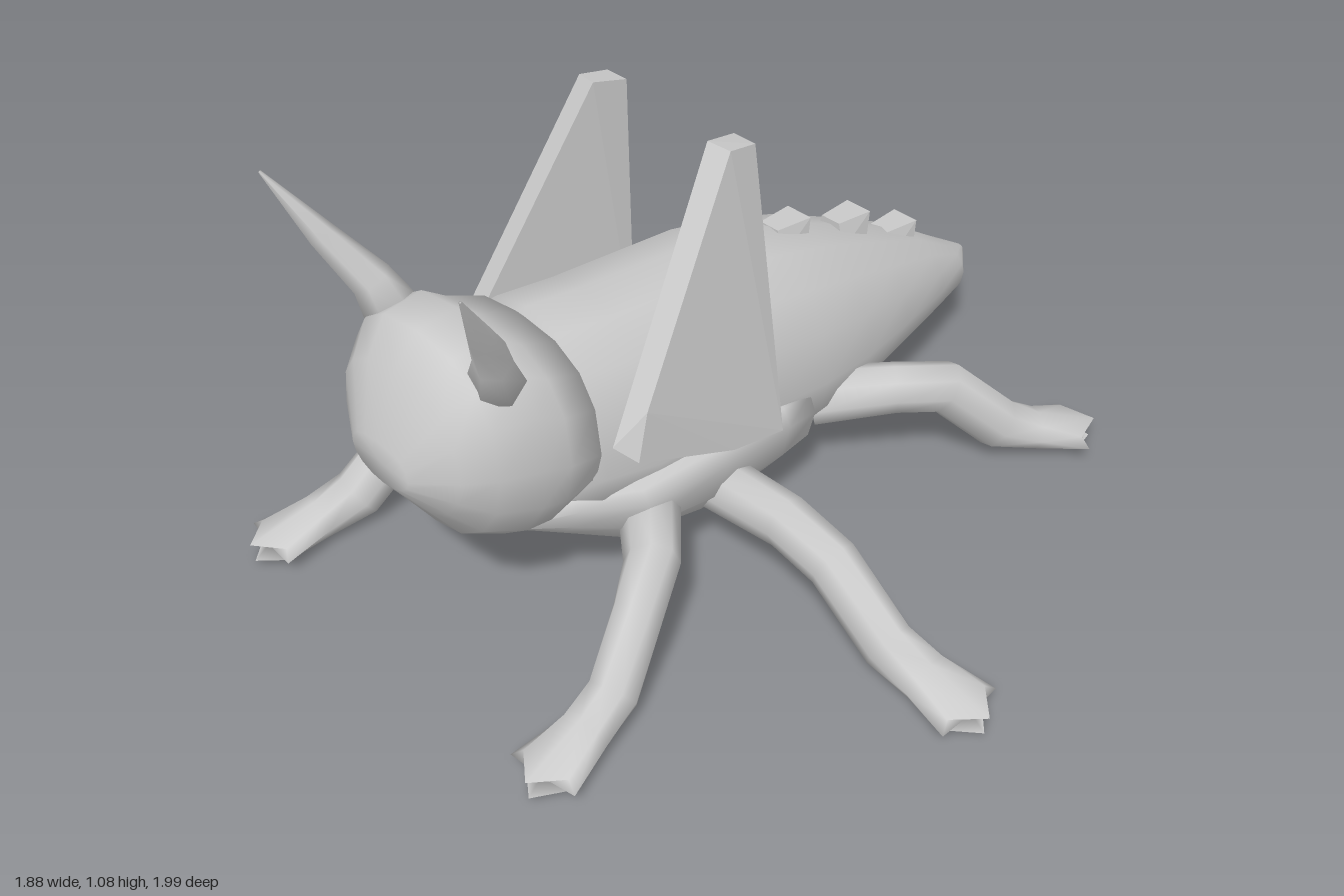
import * as THREE from 'three';
import { ConvexGeometry } from 'three/addons/geometries/ConvexGeometry.js';

const material = new THREE.MeshStandardMaterial({ color: 0xcccccc });
const V = (x, y, z) => new THREE.Vector3(x, y, z);

function add(parent, geometry, name) {
  const mesh = new THREE.Mesh(geometry, material);
  mesh.name = name;
  parent.add(mesh);
}

// Smooth closed skin over a list of rings, capped at both ends.
function skin(rings) {
  const n = rings[0].length, index = [], points = rings.flat();
  for (let i = 0; i < rings.length - 1; i++) {
    for (let j = 0; j < n; j++) {
      const a = i * n + j, b = i * n + (j + 1) % n;
      index.push(a, b, a + n, b, b + n, a + n);
    }
  }
  [rings[0], rings[rings.length - 1]].forEach((ring, end) => {
    const centre = points.length, base = end ? (rings.length - 1) * n : 0;
    points.push(ring.reduce((s, p) => s.add(p), V(0, 0, 0)).divideScalar(n));
    for (let j = 0; j < n; j++) {
      const a = base + j, b = base + (j + 1) % n;
      index.push(centre, end ? a : b, end ? b : a);
    }
  });
  const g = new THREE.BufferGeometry().setFromPoints(points);
  g.setIndex(index);
  g.computeVertexNormals();
  return g;
}

// Body sections along x: [x, bottom, top, half width, height of widest line].
function bodyLoft(sections, topPower, bottomPower, n = 16) {
  return skin(sections.map(([x, y0, y1, w, yw]) => Array.from({ length: n }, (_, j) => {
    const a = j / n * Math.PI * 2, c = Math.cos(a), s = Math.sin(a);
    const p = s >= 0 ? topPower : bottomPower;
    const bend = v => Math.sign(v) * Math.abs(v) ** p;
    return V(x, yw + bend(s) * (s >= 0 ? y1 - yw : yw - y0), -w * bend(c));
  })));
}

// Limb sections along a path: [x, y, z, half width, half height].
function limbLoft(sections, n = 8, endShape = () => 0) {
  const centres = sections.map(s => V(s[0], s[1], s[2]));
  return skin(sections.map(([, , , w, h], i) => {
    const last = i === sections.length - 1;
    const d = centres[Math.min(i + 1, sections.length - 1)].clone()
      .sub(centres[Math.max(i - 1, 0)]).normalize();
    const side = V(0, 1, 0).cross(d).normalize(), up = d.clone().cross(side);
    return Array.from({ length: n }, (_, j) => {
      const a = j / n * Math.PI * 2;
      return centres[i].clone().addScaledVector(side, Math.cos(a) * w)
        .addScaledVector(up, Math.sin(a) * h)
        .addScaledVector(d, last ? endShape(a) : 0);
    });
  }));
}

export function createModel() {
  const model = new THREE.Group();
  model.name = 'insect';

  add(model, bodyLoft([
    [-0.58, 0.30, 0.72, 0.21, 0.46], [-0.5, 0.25, 0.735, 0.235, 0.42],
    [-0.35, 0.2, 0.71, 0.24, 0.38], [0, 0.12, 0.67, 0.25, 0.35],
    [0.15, 0.1, 0.63, 0.25, 0.33], [0.32, 0.09, 0.57, 0.23, 0.31],
    [0.5, 0.12, 0.485, 0.19, 0.29], [0.7, 0.13, 0.385, 0.135, 0.26],
    [0.84, 0.14, 0.29, 0.09, 0.23], [0.93, 0.21, 0.235, 0.015, 0.225],
  ], 0.92, 1), 'abdomen');

  add(model, bodyLoft([
    [-0.66, 0.28, 0.34, 0.12, 0.32], [-0.55, 0.21, 0.4, 0.2, 0.34],
    [-0.42, 0.13, 0.4, 0.27, 0.32], [-0.2, 0.065, 0.4, 0.28, 0.31],
    [0, 0.06, 0.4, 0.275, 0.3], [0.1, 0.08, 0.38, 0.26, 0.28],
  ], 0.9, 1), 'thorax');

  add(model, bodyLoft([
    [-0.885, 0.5, 0.6, 0.09, 0.55], [-0.83, 0.42, 0.74, 0.185, 0.57],
    [-0.77, 0.33, 0.81, 0.23, 0.57], [-0.67, 0.27, 0.815, 0.25, 0.55],
    [-0.61, 0.27, 0.77, 0.255, 0.53], [-0.52, 0.32, 0.73, 0.24, 0.5],
  ], 0.8, 1), 'head');

  // Low wedge spines along the back
  for (const [x, y] of [[0.31, 0.605], [0.52, 0.53], [0.7, 0.425]]) {
    const points = [];
    for (const z of [-0.045, 0.045]) {
      points.push(V(x, y, z * 0.8), V(x - 0.1, y + 0.005, z * 0.6),
        V(x - 0.02, y - 0.08, z), V(x - 0.1, y - 0.06, z));
    }
    add(model, new ConvexGeometry(points), 'backSpine');
  }

  // Leg paths for the +z side
  const legs = {
    headLeg: [[-0.34, 0.25, 0.18, 0.07, 0.07], [-0.48, 0.25, 0.34, 0.06, 0.06],
      [-0.57, 0.21, 0.395, 0.055, 0.065], [-0.68, 0.085, 0.435, 0.055, 0.065],
      [-0.78, 0.06, 0.455, 0.06, 0.045], [-0.9, 0.045, 0.47, 0.085, 0.025]],
    middleLeg: [[-0.16, 0.2, 0.16, 0.065, 0.07], [-0.16, 0.215, 0.42, 0.06, 0.06],
      [-0.165, 0.19, 0.56, 0.057, 0.065], [-0.175, 0.08, 0.73, 0.055, 0.065],
      [-0.17, 0.055, 0.83, 0.065, 0.045], [-0.165, 0.035, 0.945, 0.09, 0.025]],
    tailLeg: [[0.2, 0.22, 0.16, 0.07, 0.07], [0.33, 0.25, 0.3, 0.06, 0.06],
      [0.43, 0.235, 0.365, 0.058, 0.065], [0.56, 0.095, 0.435, 0.055, 0.065],
      [0.64, 0.065, 0.485, 0.06, 0.045], [0.735, 0.045, 0.54, 0.09, 0.025]],
  };
  const claws = a => 0.045 * Math.abs(Math.sin(a)) ** 4
    - 0.025 * Math.sin(2 * a) ** 2;

  for (const s of [1, -1]) {
    const side = new THREE.Group();
    side.name = s > 0 ? 'leftSide' : 'rightSide';
    model.add(side);
    for (const [name, path] of Object.entries(legs)) {
      add(side, limbLoft(path.map(([x, y, z, w, h]) => [x, y, z * s, w, h]), 8, claws), name);
    }

    // Tapering horn, wide at the root
    add(side, limbLoft([
      [-0.71, 0.74, 0.16 * s, 0.06, 0.06], [-0.735, 0.82, 0.19 * s, 0.04, 0.045],
      [-0.8, 0.93, 0.245 * s, 0.025, 0.03], [-0.88, 1.08, 0.305 * s, 0.003, 0.003],
    ], 6), 'horn');

    // Upright wing, thick at the rear edge
    add(side, new ConvexGeometry([
      [-0.155, 1.05, 0.17], [-0.145, 1.045, 0.225], [-0.07, 1.03, 0.16], [-0.07, 1.03, 0.22],
      [-0.055, 0.34, 0.17], [-0.055, 0.34, 0.305], [-0.2, 0.365, 0.3], [-0.2, 0.365, 0.2],
      [-0.49, 0.5, 0.24], [-0.46, 0.47, 0.285], [-0.43, 0.58, 0.28], [-0.43, 0.58, 0.23],
    ].map(([x, y, z]) => V(x, y, z * s))), 'wing');
  }
  return model;
}
